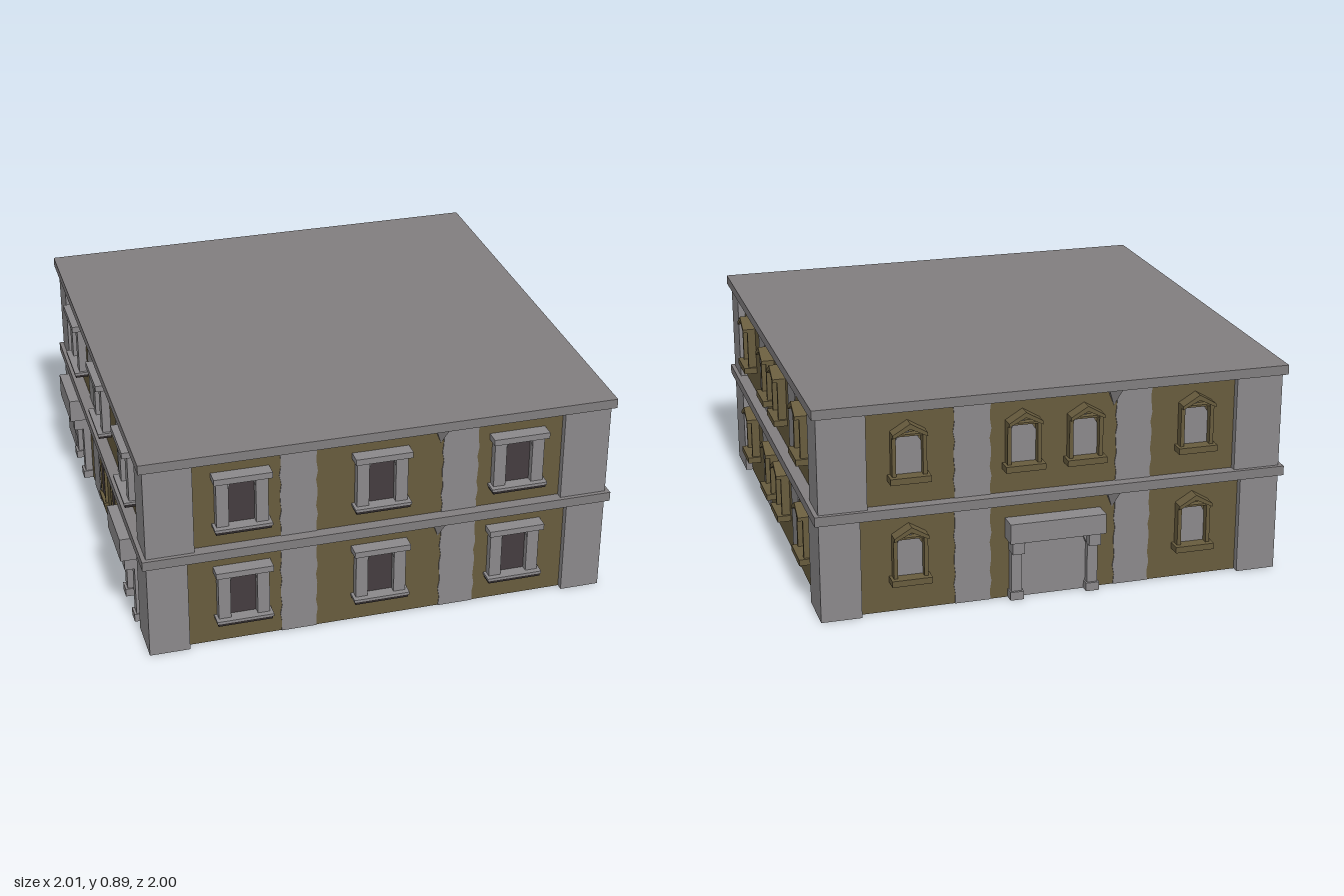
import * as THREE from 'three';

const mat = (name, color, side = THREE.FrontSide) => {
  const m = new THREE.MeshStandardMaterial({ color, side });
  m.name = name;
  return m;
};

export function createModel() {
  const stone = mat('pale stone', 0x8a888a, THREE.DoubleSide);
  const trim = mat('slab stone', 0x807d7e);
  const plaster = mat('ochre plaster', 0x675b3d);
  const dark = mat('dark opening', 0x443c3f);
  const shade = mat('dark sill', 0x2e292a);

  const CX = 0.02, CZ = 0.013, HALF = 0.96, WALL = 0.93;
  const model = new THREE.Group();
  model.name = 'building';

  const add = (parent, name, geo, material) => {
    const m = new THREE.Mesh(geo, material);
    m.name = name;
    parent.add(m);
    return m;
  };
  // Box given by its limits: across, up and outwards
  const box = (parent, name, material, x0, x1, y0, y1, z0, z1) =>
    add(parent, name, new THREE.BoxGeometry(x1 - x0, y1 - y0, z1 - z0), material)
      .position.set((x0 + x1) / 2, (y0 + y1) / 2, (z0 + z1) / 2);
  const plate = (parent, name, material, points, depth, z) =>
    add(parent, name, new THREE.ExtrudeGeometry(
      new THREE.Shape(points.map(p => new THREE.Vector2(p[0], p[1]))),
      { depth, bevelEnabled: false }), material).position.z = z;

  // Roof slab and the band between storeys
  for (const [name, y0, y1] of [['floorBand', 0.415, 0.455], ['roofSlab', 0.85, 0.89]])
    box(model, name, trim, CX - 0.9775, CX + 0.9775, y0, y1, CZ - 0.9775, CZ + 0.9775);

  // Hollow corner posts, with different widths on each storey
  const storeys = [
    { y: 0, top: 0.415, win: 0.1, px: 0.165, pz: 0.2 },
    { y: 0.455, top: 0.85, win: 0.53, px: 0.195, pz: 0.165 },
  ];
  const tube = new THREE.CylinderGeometry(Math.SQRT1_2, Math.SQRT1_2, 1, 4, 1, true)
    .rotateY(Math.PI / 4).toNonIndexed();
  tube.computeVertexNormals();
  for (const s of storeys)
    for (const sx of [-1, 1])
      for (const sz of [-1, 1]) {
        const post = add(model, 'cornerPost', tube, stone);
        post.scale.set(s.px, s.top - s.y, s.pz);
        post.position.set(CX + sx * (HALF - s.px / 2), (s.y + s.top) / 2, CZ + sz * (HALF - s.pz / 2));
      }

  const part = (parent, name, u, y) => {
    const g = new THREE.Group();
    g.name = name;
    g.position.set(u, y, 0);
    parent.add(g);
    return g;
  };

  // Square window with stone jambs, lintel and sill
  const squareWindow = (wall, u, y) => {
    const g = part(wall, 'squareWindow', u, y);
    box(g, 'pane', dark, -0.065, 0.065, 0.02, 0.235, 0, 0.006);
    for (const s of [-1, 1]) {
      const x = s * 0.08;
      box(g, 'jamb', stone, x - 0.025, x + 0.025, 0.025, 0.235, 0, 0.035);
      plate(g, 'jambBracket', stone,
        [[s * 0.056, 0.235], [s * 0.056, 0.185], [s * 0.047, 0.215], [s * 0.035, 0.235]], 0.03, 0);
    }
    box(g, 'lintel', stone, -0.117, 0.117, 0.23, 0.256, 0, 0.058);
    box(g, 'sill', stone, -0.117, 0.117, 0.016, 0.027, 0, 0.058);
    box(g, 'sillFoot', shade, -0.112, 0.112, 0.003, 0.016, 0, 0.054);
  };

  // Arched window under a small gable
  const gableWindow = (wall, u, y) => {
    const g = part(wall, 'gableWindow', u, y);
    plate(g, 'pane', stone, [[-0.055, 0.05], [0.055, 0.05], [0.055, 0.18],
      [0.035, 0.212], [0, 0.225], [-0.035, 0.212], [-0.055, 0.18]], 0.006, 0);
    for (const s of [-1, 1]) {
      const x = s * 0.062;
      box(g, 'jamb', plaster, x - 0.008, x + 0.008, 0.05, 0.22, 0, 0.035);
      plate(g, 'gableSide', plaster,
        [[s * 0.07, 0.215], [s * 0.07, 0.23], [0, 0.272], [0, 0.25]], 0.055, 0);
    }
    box(g, 'transom', plaster, -0.06, 0.06, 0.213, 0.221, 0, 0.03);
    box(g, 'sill', plaster, -0.082, 0.082, 0.026, 0.052, 0, 0.057);
  };

  // Narrow dark window in a slim frame
  const narrowWindow = (wall, u) => {
    const g = part(wall, 'narrowWindow', u, 0);
    box(g, 'pane', dark, -0.045, 0.045, 0.1, 0.34, 0, 0.006);
    for (const s of [-1, 1])
      box(g, 'jamb', plaster, s * 0.05 - 0.006, s * 0.05 + 0.006, 0.1, 0.34, 0, 0.012);
    box(g, 'sill', plaster, -0.06, 0.06, 0.085, 0.1, 0, 0.02);
    box(g, 'lintel', plaster, -0.056, 0.056, 0.34, 0.35, 0, 0.015);
  };

  // Doorway with jambs, brackets and a projecting canopy
  const door = (wall, u, half, y0, y1, out, fill) => {
    const g = part(wall, 'doorway', u, 0);
    box(g, 'doorPanel', fill, -half + 0.05, half - 0.05, 0, y0, 0, 0.006);
    box(g, 'canopy', stone, -half, half, y0, y1, 0, out);
    for (const s of [-1, 1]) {
      const x = s * (half - 0.04);
      box(g, 'jamb', stone, x - 0.022, x + 0.022, 0, y0, 0, 0.032);
      box(g, 'jambBase', stone, x - 0.028, x + 0.028, 0, 0.035, 0, 0.042);
      box(g, 'bracket', stone, x - 0.025, x + 0.025, y0 - 0.055, y0, 0, out - 0.018);
      const b = x - s * 0.022;
      plate(g, 'bracketCurve', stone,
        [[b, y0], [b, y0 - 0.06], [b - s * 0.015, y0 - 0.025], [b - s * 0.04, y0]], 0.03, 0);
    }
  };

  // Strip of stonework with slightly ragged edges
  const pilaster = (wall, u, y0, y1) => {
    const left = [], right = [], n = 10;
    for (let i = 0; i <= n; i++) {
      const y = y0 + (y1 - y0) * i / n;
      const w = 0.074 + 0.004 * Math.sin(i * 2.4 + u * 9);
      right.push([u + w, y]);
      left.unshift([u - w, y]);
    }
    plate(wall, 'pilaster', stone, [...right, ...left], 0.018, -0.014);
  };

  // Small inverted wedge beneath a band
  const wedge = (wall, u, top) => {
    const geo = new THREE.ConeGeometry(0.042, 0.075, 4, 1).rotateY(Math.PI / 4).rotateX(Math.PI);
    const flat = geo.toNonIndexed();
    flat.computeVertexNormals();
    add(wall, 'wedgeCorbel', flat, trim).position.set(u, top - 0.0375, 0);
  };

  const wallNames = ['frontWall', 'rightWall', 'backWall', 'leftWall'];
  const square = [-0.57, 0, 0.573], gable = [-0.595, -0.13, 0.125, 0.595];
  wallNames.forEach((name, i) => {
    const wall = new THREE.Group();
    wall.name = name;
    const angle = i * Math.PI / 2;
    wall.rotation.y = angle;
    wall.position.set(CX + Math.sin(angle) * WALL, 0, CZ + Math.cos(angle) * WALL);
    model.add(wall);

    storeys.forEach((s, level) => {
      const edge = HALF - (i % 2 ? s.pz : s.px);
      box(wall, 'wallPanel', plaster, -edge, edge, s.y, s.top, -0.01, 0);
      for (const u of [-0.335, 0.335]) pilaster(wall, u, s.y, s.top);
      wedge(wall, i === 1 && level === 0 ? -0.255 : 0.25, s.top);

      if (i === 0 || (i === 3 && level)) square.forEach(u => squareWindow(wall, u, s.win));
      else if (i === 1 || level) gable.forEach(u => gableWindow(wall, u, s.win));
      else if (i === 2) {
        [gable[0], gable[3]].forEach(u => gableWindow(wall, u, s.win));
        door(wall, 0, 0.2, 0.262, 0.346, 0.08, stone);
      } else {
        for (const u of [-0.6, 0.59]) door(wall, u, 0.135, 0.31, 0.412, 0.09, dark);
        for (const u of [-0.13, 0.125]) narrowWindow(wall, u);
      }
    });
  });
  return model;
}
